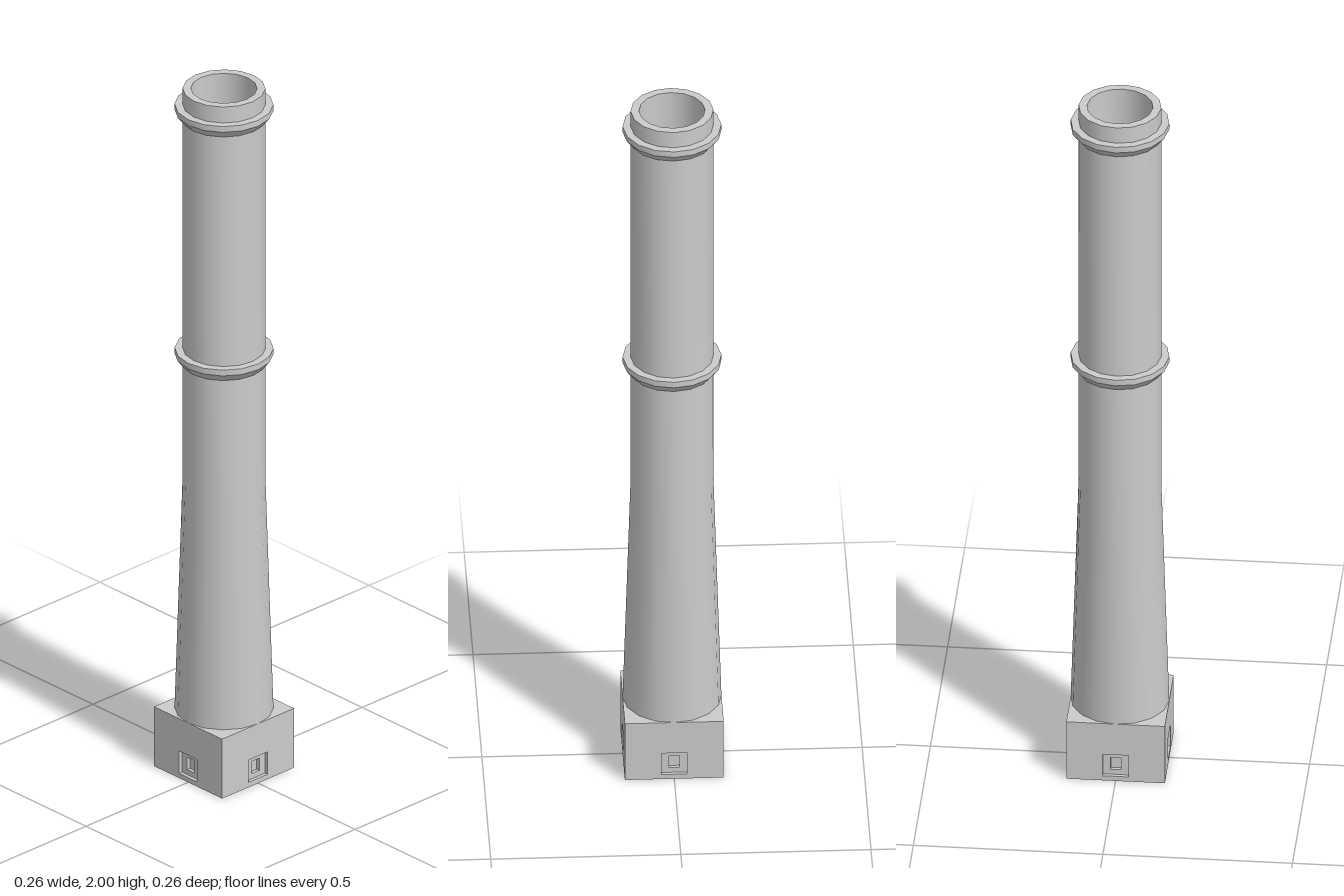
import * as THREE from 'three';
import { toCreasedNormals } from 'three/addons/utils/BufferGeometryUtils.js';

const material = new THREE.MeshStandardMaterial({ color: 0xcccccc });
const SIDES = 16;
const HALF = 0.13;        // half width of the plinth
const BASE_H = 0.175;     // plinth height
const STEP = 0.01;        // depth of each hatch recess

function add(parent, name, geometry) {
  const mesh = new THREE.Mesh(geometry, material);
  mesh.name = name;
  parent.add(mesh);
  return mesh;
}

// Turned part with sharp profile edges and smooth sides
function turned(profile) {
  const points = profile.map(([r, y]) => new THREE.Vector2(r, y));
  return toCreasedNormals(new THREE.LatheGeometry(points, SIDES), Math.PI / 6);
}

// Plinth wall panel pierced by a rectangular hatch opening
function panel(width, holeW, holeH) {
  const shape = new THREE.Shape();
  shape.moveTo(-width / 2, 0).lineTo(width / 2, 0);
  shape.lineTo(width / 2, BASE_H).lineTo(-width / 2, BASE_H).closePath();
  const hole = new THREE.Path();
  const x = holeW / 2, y0 = 0.047 - holeH / 2, y1 = 0.047 + holeH / 2;
  hole.moveTo(-x, y0).lineTo(-x, y1).lineTo(x, y1).lineTo(x, y0).closePath();
  shape.holes.push(hole);
  return new THREE.ExtrudeGeometry(shape, { depth: STEP, bevelEnabled: false });
}

export function createModel() {
  const chimney = new THREE.Group();
  chimney.name = 'chimney';

  // Square plinth: solid core wrapped in two layers that form stepped hatches
  const plinth = new THREE.Group();
  plinth.name = 'plinth';
  chimney.add(plinth);
  const core = 2 * (HALF - 2 * STEP);
  add(plinth, 'plinthCore', new THREE.BoxGeometry(core, BASE_H, core)).position.y = BASE_H / 2;
  const layers = [
    { name: 'outerHatchPanel', face: HALF, w: 0.068, h: 0.066 },
    { name: 'innerHatchPanel', face: HALF - STEP, w: 0.028, h: 0.036 },
  ];
  for (const { name, face, w, h } of layers) {
    for (let i = 0; i < 4; i++) {
      // Front and back span the full width, the sides fit between them
      const width = 2 * (i % 2 ? face - STEP : face);
      const geometry = panel(width, w, h);
      geometry.translate(0, 0, face - STEP);
      add(plinth, name, geometry).rotation.y = i * Math.PI / 2;
    }
  }

  // Shaft: flared foot, straight stack, flat rim and open flue
  add(chimney, 'shaft', turned([
    [0.13, BASE_H], [0.109, 0.85], [0.109, 2], [0.087, 2], [0.087, BASE_H],
  ]));

  // Collars with a sloping underside
  for (const y of [1.195, 1.913]) {
    add(chimney, 'collar', turned([
      [0.107, y], [0.112, y], [0.13, y + 0.023], [0.13, y + 0.04], [0.107, y + 0.04],
    ]));
  }
  return chimney;
}
